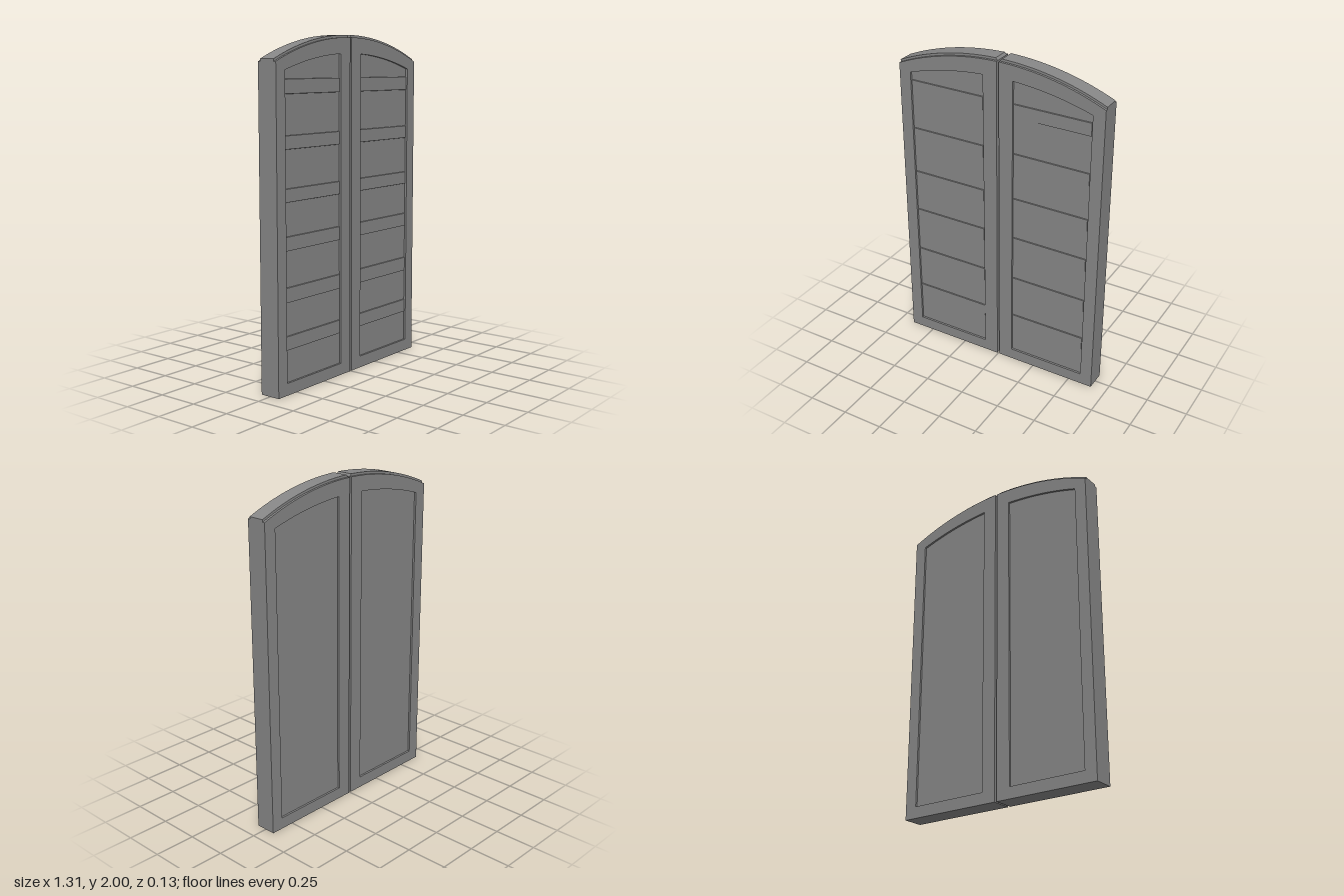
import * as THREE from 'three';
import { toCreasedNormals } from 'three/addons/utils/BufferGeometryUtils.js';

const IN = 0.007, OUT = 0.654;        // leaf edges, from the gap to the outer side
const H_IN = 0.095, H_OUT = 0.58;     // panel opening
const Z_FRAME = 0.0635, Z_CAP = 0.049, Z_PANEL = 0.051;
const STEP = 0.014;                   // height of the cap above the frame

const arc = (x, top, r) => top - r + Math.sqrt(r * r - x * x);
const capTop = (x) => arc(x, 2.0, 1.62);
const frameTop = (x) => capTop(x) - STEP;
const holeTop = (x) => arc(x, 1.894, 1.9);

// straight or arched bottom, upright sides and an arched top
function outline(path, x0, x1, bottom, top, clip = 0) {
  const n = 24;
  for (let i = 0; i <= n; i++) {
    const x = x0 + (x1 - x0) * (i / n);
    path.lineTo(x, bottom(x));
  }
  for (let i = 0; i <= n; i++) {
    const x = x1 + (x0 + clip - x1) * (i / n);
    path.lineTo(x, top(x));
  }
  return path;
}

function newPath(Type, x0, x1, bottom, top, clip) {
  const path = new Type();
  path.moveTo(x0, bottom(x0));
  outline(path, x0, x1, bottom, top, clip);
  path.closePath();
  return path;
}

// extrusion centred on z = 0
function slab(shape, halfDepth) {
  const geo = new THREE.ExtrudeGeometry(shape, { depth: 2 * halfDepth, bevelEnabled: false });
  return toCreasedNormals(geo.translate(0, 0, -halfDepth), 0.4);
}

// board with all four front edges bevelled
function slatGeometry(width, height) {
  const depth = 0.02, bevel = 0.006;
  const geo = new THREE.BoxGeometry(width, height, depth);
  const p = geo.attributes.position;
  for (let i = 0; i < p.count; i++) {
    if (p.getZ(i) < 0) continue;
    p.setX(i, p.getX(i) - Math.sign(p.getX(i)) * bevel);
    p.setY(i, p.getY(i) - Math.sign(p.getY(i)) * bevel);
  }
  geo.computeVertexNormals();
  return geo;
}

export function createModel() {
  const model = new THREE.Group();
  model.name = 'doubleDoor';
  const material = new THREE.MeshStandardMaterial({ color: 0x868686 });

  const floor = () => 0;
  const holeFloor = () => 0.07;
  const frameShape = newPath(THREE.Shape, IN, OUT, floor, frameTop);
  frameShape.holes.push(newPath(THREE.Path, H_IN, H_OUT, holeFloor, holeTop));
  const frame = slab(frameShape, Z_FRAME);
  const panel = slab(newPath(THREE.Shape, H_IN, H_OUT, holeFloor, holeTop), Z_PANEL);
  const cap = slab(newPath(THREE.Shape, IN, OUT, frameTop, capTop, 0.012), Z_CAP);
  const slatRows = [[0.25, 0.34], [0.52, 0.615], [0.81, 0.9], [1.08, 1.165], [1.37, 1.455], [1.67, 1.76]];

  const add = (parent, geo, name) => {
    const mesh = new THREE.Mesh(geo, material);
    mesh.name = name;
    parent.add(mesh);
    return mesh;
  };

  for (const side of [1, -1]) {
    const leaf = new THREE.Group();
    leaf.name = side > 0 ? 'leftDoor' : 'rightDoor';

    // the body matches front to back, so a half turn mirrors it
    const body = new THREE.Group();
    body.name = 'doorBody';
    add(body, frame, 'frame');
    add(body, panel, 'panel');
    add(body, cap, 'topCap');
    if (side < 0) body.rotation.y = Math.PI;
    leaf.add(body);

    // raised slats on the front face only
    slatRows.forEach(([y0, y1], i) => {
      const slat = add(leaf, slatGeometry(H_OUT - H_IN, y1 - y0), 'slat' + (i + 1));
      slat.position.set(side * (H_IN + H_OUT) / 2, (y0 + y1) / 2, 0.047);
    });
    model.add(leaf);
  }
  return model;
}
